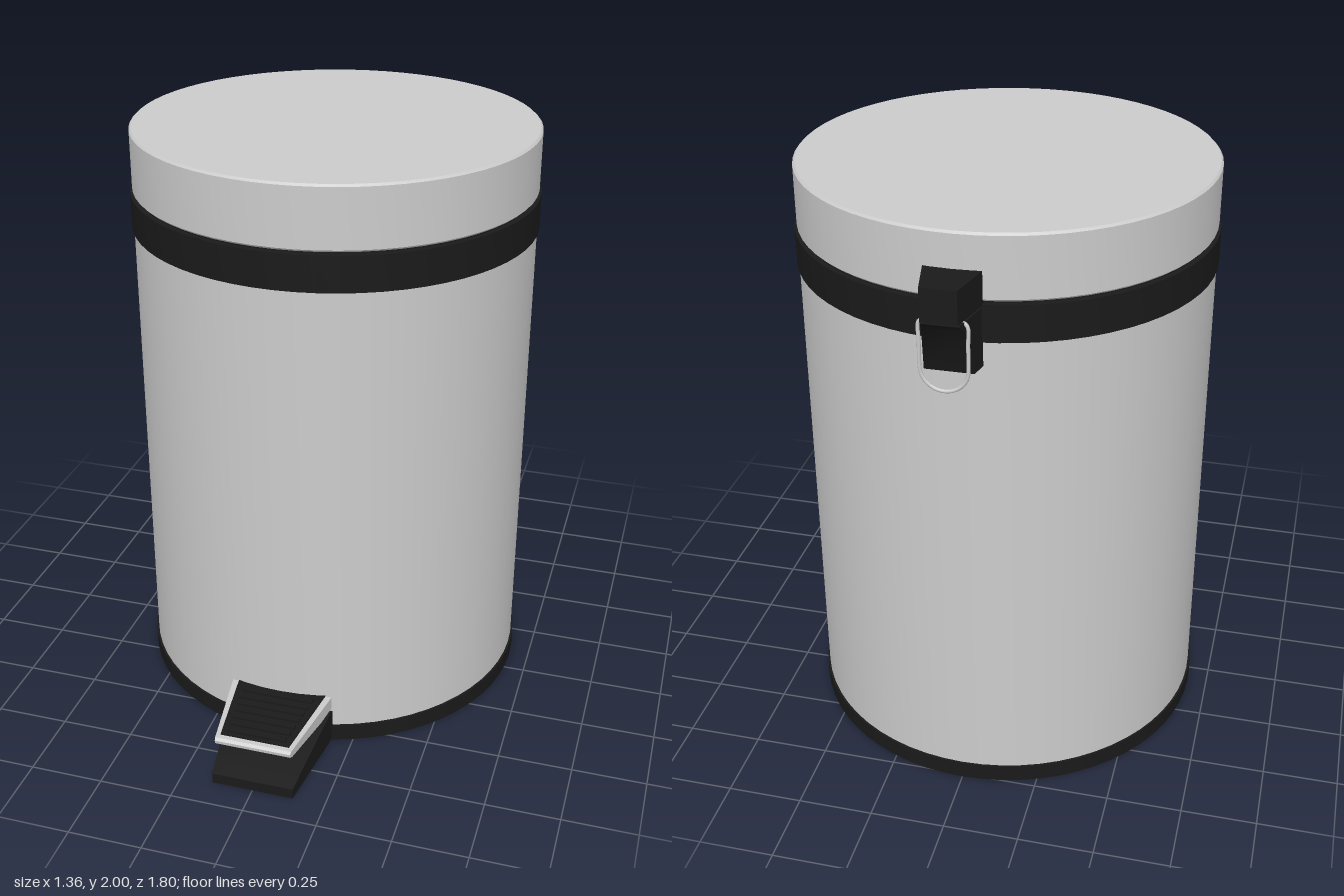
import * as THREE from 'three';
import { toCreasedNormals } from 'three/addons/utils/BufferGeometryUtils.js';

const grey = new THREE.MeshStandardMaterial({ color: 0xcccccc });
const black = new THREE.MeshStandardMaterial({ color: 0x1a1a1a });
const AXIS_Z = -0.08; // centre line of the bin

function add(parent, name, geometry, material) {
  const mesh = new THREE.Mesh(geometry, material);
  mesh.name = name;
  parent.add(mesh);
  return mesh;
}

// Closed round part from [radius, y] points, bottom to top
function turned(points) {
  const g = new THREE.LatheGeometry(points.map(([r, y]) => new THREE.Vector2(r, y)), 64);
  return toCreasedNormals(g, 0.5).translate(0, 0, AXIS_Z);
}

// Side profile of [z, y] points, widened to half-width wA at zA and wB at zB
function taperedPrism(profile, zA, wA, zB, wB) {
  const shape = new THREE.Shape(profile.map(([z, y]) => new THREE.Vector2(z, y)));
  const g = new THREE.ExtrudeGeometry(shape, { depth: 2, bevelEnabled: false });
  g.translate(0, 0, -1).rotateY(-Math.PI / 2);
  const p = g.attributes.position;
  for (let i = 0; i < p.count; i++) {
    // profile x now lies along +z
    const t = (p.getZ(i) - zA) / (zB - zA);
    p.setX(i, p.getX(i) * THREE.MathUtils.lerp(wA, wB, t));
  }
  g.computeVertexNormals();
  return toCreasedNormals(g, 0.6);
}

export function createModel() {
  const model = new THREE.Group();
  model.name = 'pedalBin';

  // Round parts
  add(model, 'baseRing', turned([[0, 0], [0.682, 0], [0.682, 0.06], [0, 0.06]]), black);
  add(model, 'body', turned([[0, 0.03], [0.675, 0.03], [0.675, 1.7], [0, 1.7]]), grey);
  add(model, 'rimBand', turned([[0, 1.667], [0.682, 1.667], [0.682, 1.786], [0.665, 1.786], [0.665, 1.81], [0, 1.81]]), black);
  add(model, 'lid', turned([[0, 1.792], [0.668, 1.792], [0.675, 1.799], [0.675, 1.993], [0.668, 2], [0, 2]]), grey);

  // Wedge foot under the pedal
  add(model, 'foot', taperedPrism(
    [[0.54, 0], [0.9, 0], [0.9, 0.037], [0.59, 0.118], [0.54, 0.118]], 0.59, 0.177, 0.9, 0.14), black);

  // Pedal: grey tray with a ribbed black tread
  const pedal = new THREE.Group();
  pedal.name = 'pedal';
  model.add(pedal);
  add(pedal, 'pedalPlate', taperedPrism(
    [[0.575, 0.132], [0.66, 0.13], [0.875, 0.152], [0.888, 0.158], [0.89, 0.17], [0.882, 0.178], [0.575, 0.178]],
    0.575, 0.178, 0.89, 0.13), grey);
  add(pedal, 'tread', taperedPrism(
    [[0.575, 0.17], [0.865, 0.17], [0.865, 0.182], [0.575, 0.182]], 0.575, 0.156, 0.865, 0.118), black);
  for (let i = 0; i < 7; i++) {
    const rib = add(pedal, 'treadRib' + (i + 1),
      new THREE.BoxGeometry(0.25 - i * 0.008, 0.012, 0.02), black);
    rib.position.set(0, 0.184, 0.625 + i * 0.036);
  }

  // Hinge housing at the back
  const hinge = new THREE.Group();
  hinge.name = 'hinge';
  model.add(hinge);
  add(hinge, 'hingeCap', taperedPrism(
    [[-0.735, 1.782], [-0.735, 1.887], [-0.897, 1.887], [-0.897, 1.782]].reverse(),
    -0.755, 0.086, -0.897, 0.055), black);
  add(hinge, 'hingeBracket', taperedPrism(
    [[-0.735, 1.588], [-0.735, 1.776], [-0.893, 1.776], [-0.85, 1.74], [-0.803, 1.588]].reverse(),
    -0.755, 0.086, -0.897, 0.055), black);
  add(hinge, 'hingeCore', new THREE.BoxGeometry(0.1, 0.03, 0.13).translate(0, 1.78, -0.81), black);

  // Wire loop hanging from the hinge
  const path = new THREE.CurvePath();
  const r = 0.072, top = 1.772, bend = 1.622, z = -0.854;
  const v = (x, y) => new THREE.Vector3(x, y, z);
  const points = [v(0, top), v(-r + 0.01, top), v(-r, top - 0.012), v(-r, 1.7), v(-r, bend)];
  for (let i = 1; i < 10; i++) {
    const a = Math.PI + (Math.PI * i) / 10;
    points.push(v(r * Math.cos(a), bend + r * Math.sin(a)));
  }
  points.push(v(r, bend), v(r, 1.7), v(r, top - 0.012), v(r - 0.01, top));
  path.add(new THREE.CatmullRomCurve3(points, true, 'centripetal'));
  add(hinge, 'wireLoop', new THREE.TubeGeometry(path.curves[0], 72, 0.006, 8, true), grey);

  return model;
}
